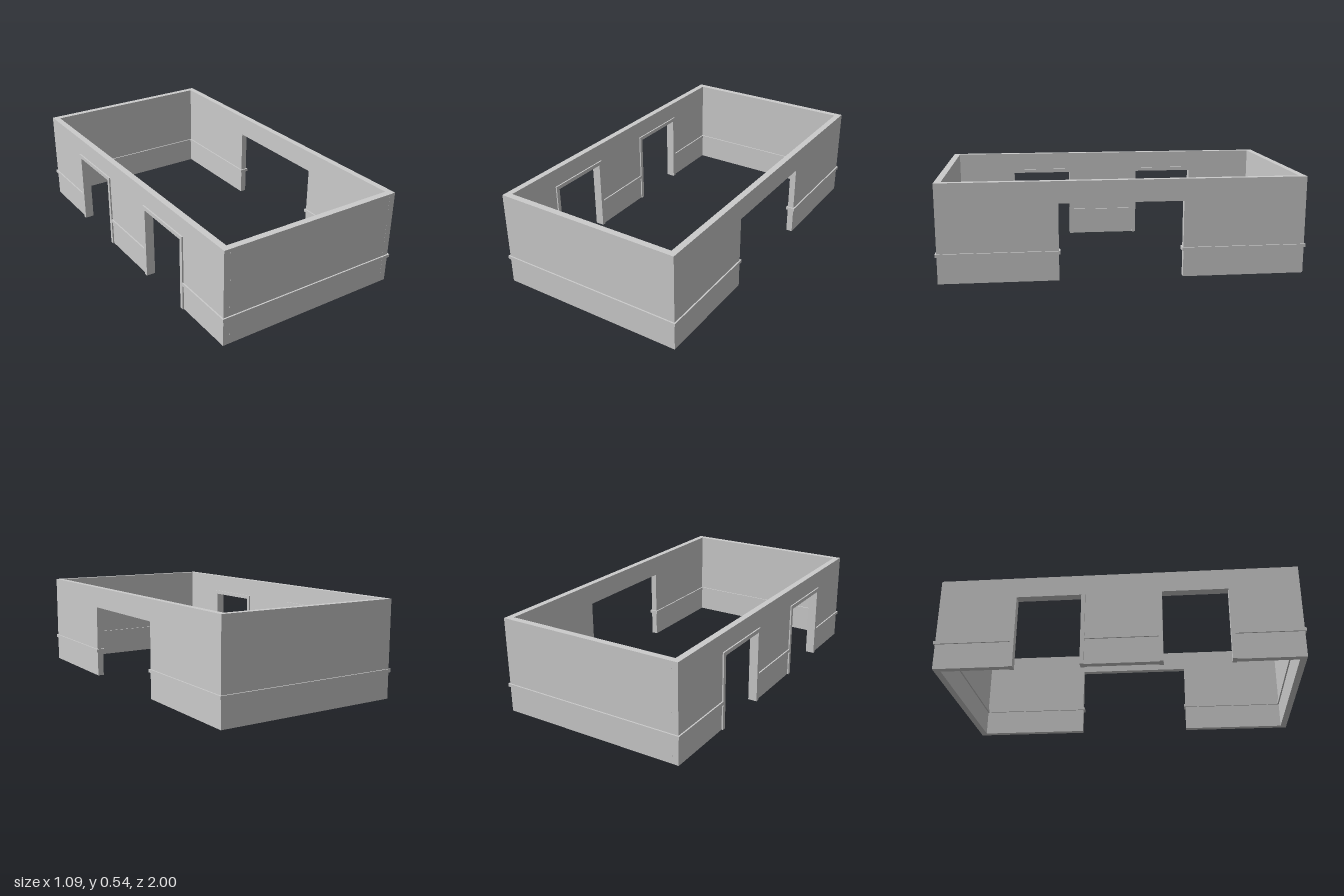
import * as THREE from 'three';

const H = 0.54;                    // wall height
const T = 0.036;                   // wall thickness
const P = 0.008;                   // how far the trim stands proud
const RAIL_Y = 0.146, RAIL_H = 0.018;
const FRAME = 0.022;               // door frame width

const material = new THREE.MeshStandardMaterial({ color: 0xcccccc, flatShading: true });

// Extrude an outline in the wall plane, from `proud` outside to `proud` inside the wall
function slab(name, points, proud) {
  const shape = new THREE.Shape(points.map(([u, y]) => new THREE.Vector2(u, y)));
  const geometry = new THREE.ExtrudeGeometry(shape, { depth: T + 2 * proud, bevelEnabled: false });
  geometry.translate(0, 0, -T - proud);
  const mesh = new THREE.Mesh(geometry, material);
  mesh.name = name;
  return mesh;
}

const rect = (u0, u1, y0, y1) => [[u0, y0], [u1, y0], [u1, y1], [u0, y1]];

// One wall between two outer corners: local x runs along it, local z points outward
function buildWall(name, [ax, az], [bx, bz], { inset = 0, openings = [] }) {
  const wall = new THREE.Group();
  wall.name = name;
  wall.position.set(ax, 0, az);
  wall.rotation.y = Math.atan2(az - bz, bx - ax);
  const start = inset, end = Math.hypot(bx - ax, bz - az) - inset;

  // Panel notched around its openings
  const outline = [[start, 0]];
  for (const o of openings) outline.push([o.from, 0], [o.from, o.top], [o.to, o.top], [o.to, 0]);
  outline.push([end, 0], [end, H], [start, H]);
  wall.add(slab('wallPanel', outline, 0));

  // Chair rail: wraps plain jambs and outer corners, stops against door frames
  const lap = inset ? 0 : P;
  let from = start - lap;
  for (const o of openings) {
    const wrap = o.framed ? 0 : P;
    wall.add(slab('chairRail', rect(from, o.from + wrap, RAIL_Y, RAIL_Y + RAIL_H), P));
    from = o.to - wrap;
  }
  wall.add(slab('chairRail', rect(from, end + lap, RAIL_Y, RAIL_Y + RAIL_H), P));

  // Door frames
  for (const o of openings.filter((d) => d.framed)) {
    const a = o.from + FRAME, b = o.to - FRAME, t = o.top - FRAME;
    wall.add(slab('doorFrame', [
      [o.from, 0], [a, 0], [a, t], [b, t], [b, 0], [o.to, 0], [o.to, o.top], [o.from, o.top],
    ], P));
  }
  return wall;
}

export function createModel() {
  const model = new THREE.Group();
  model.name = 'roomWalls';

  // Outer corners in plan (x, z)
  const frontLeft = [0.537, 0.993], backLeft = [0.537, -0.992];
  const backRight = [-0.537, -0.992], frontRight = [-0.541, 0.984];

  model.add(
    buildWall('frontWall', frontRight, frontLeft, { inset: T }),
    buildWall('leftWall', frontLeft, backLeft, {
      openings: [{ from: 0.64, to: 1.312, top: 0.42 }],
    }),
    buildWall('backWall', backLeft, backRight, { inset: T }),
    buildWall('rightWall', backRight, frontRight, {
      openings: [
        { from: 0.412, to: 0.815, top: 0.437, framed: true },
        { from: 1.212, to: 1.615, top: 0.437, framed: true },
      ],
    }),
  );
  return model;
}
